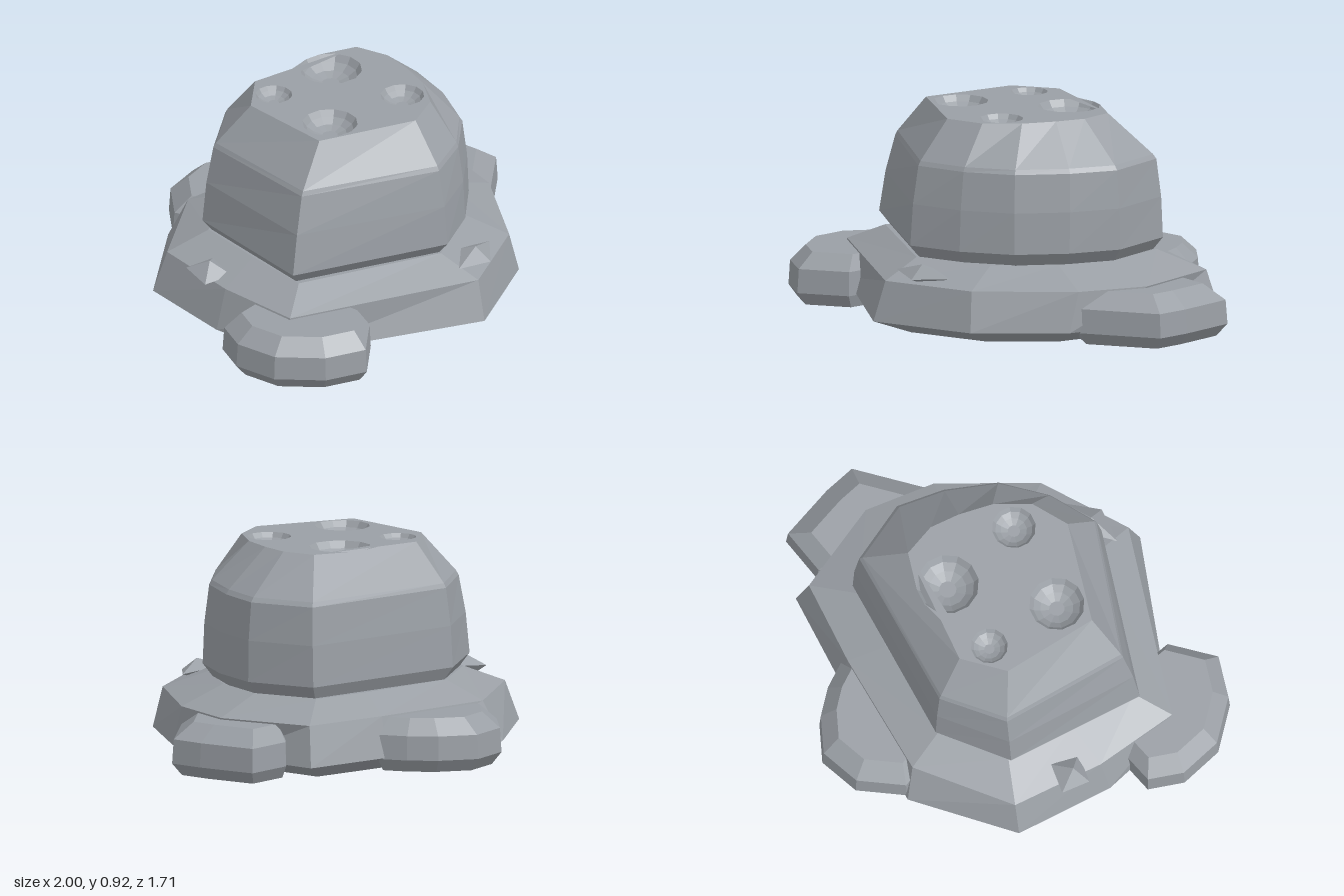
import * as THREE from 'three';

const stone = new THREE.MeshStandardMaterial({ color: 0x9a9fa5 });
stone.name = 'grey stone';

// Outline scaled about a centre
const scaled = (pts, s, cx = 0, cz = 0) => pts.map(([x, z]) => [cx + (x - cx) * s, cz + (z - cz) * s]);
const circle = (cx, cz, r, n = 12) => Array.from({ length: n }, (_, i) => {
  const a = (i / n) * Math.PI * 2;
  return [cx + Math.sin(a) * r, cz + Math.cos(a) * r];
});

// Faceted loft through levels [y, outline]; outlines run from +z towards +x
function loft(levels, { bottom = true, holes = [] } = {}) {
  const pos = [];
  const tri = (a, b, c) => pos.push(...a, ...b, ...c);
  const at = ([y, o], i) => { const p = o[i % o.length]; return [p[0], y, p[1]]; };
  for (let l = 0; l < levels.length - 1; l++) {
    const lo = levels[l], hi = levels[l + 1];
    for (let i = 0; i < lo[1].length; i++) {
      tri(at(lo, i), at(lo, i + 1), at(hi, i + 1));
      tri(at(lo, i), at(hi, i + 1), at(hi, i));
    }
  }
  const cap = ([y, o], up, gaps) => {
    const to2 = (p) => new THREE.Vector2(p[0], -p[1]);
    const inner = gaps.map((h) => [...h].reverse());
    const all = [o, ...inner].flat().map((p) => [p[0], y, p[1]]);
    const faces = THREE.ShapeUtils.triangulateShape(o.map(to2), inner.map((h) => h.map(to2)));
    for (const [i, j, k] of faces) {
      const a = all[i], b = all[j], c = all[k];
      const ny = (b[2] - a[2]) * (c[0] - a[0]) - (b[0] - a[0]) * (c[2] - a[2]);
      if ((ny > 0) === up) tri(a, b, c); else tri(a, c, b);
    }
  };
  cap(levels[levels.length - 1], true, holes);
  if (bottom) cap(levels[0], false, []);
  const g = new THREE.BufferGeometry();
  g.setAttribute('position', new THREE.Float32BufferAttribute(pos, 3));
  g.computeVertexNormals();
  return g;
}

export function createModel() {
  const model = new THREE.Group();
  model.name = 'rockFormation';
  const add = (name, geometry) => {
    const m = new THREE.Mesh(geometry, stone);
    m.name = name;
    model.add(m);
    return m;
  };

  // Boulder outlines at its widest, at the shoulder and on the flat top
  const waist = [[-0.03, 0.645], [0.2, 0.56], [0.4, 0.42], [0.53, 0.22], [0.605, 0],
    [0.53, -0.3], [-0.21, -0.47], [-0.52, -0.31], [-0.66, 0.3]];
  const shoulder = [[-0.03, 0.6], [0.19, 0.53], [0.38, 0.4], [0.51, 0.2], [0.585, 0],
    [0.51, -0.28], [-0.2, -0.44], [-0.47, -0.29], [-0.575, 0.28]];
  const crown = [[-0.01, 0.455], [0.16, 0.4], [0.27, 0.27], [0.33, 0.13], [0.365, 0],
    [0.34, -0.15], [-0.17, -0.3], [-0.35, -0.18], [-0.41, 0.245]];
  const middle = waist.map((p, i) => p.map((v, k) => 1.012 * (v + shoulder[i][k]) / 2));
  const bevel = shoulder.map((p, i) => p.map((v, k) => v * 0.93 + crown[i][k] * 0.07));

  // Craters sunk into the flat top: x, z, radius
  const top = 0.915;
  const craters = [[-0.21, -0.165, 0.08], [0.12, -0.115, 0.135], [-0.255, 0.18, 0.12], [0.13, 0.27, 0.095]];
  add('boulder', loft([
    [0.32, scaled(waist, 0.92)], [0.38, waist], [0.56, middle],
    [0.725, shoulder], [0.745, bevel], [top, crown],
  ], { holes: craters.map(([x, z, r]) => circle(x, z, r)) }));
  for (const [x, z, r] of craters) {
    const bowl = [[1, 0], [0.85, 0.22], [0.6, 0.4], [0.28, 0.5]]
      .map(([s, d]) => [top - d * r, circle(x, z, r * s)]);
    add('crater', loft(bowl, { bottom: false }));
  }

  // Broad plinth under the boulder
  const foot = [[-0.03, 0.85], [0.42, 0.68], [0.69, 0.35], [0.75, 0], [0.73, -0.45],
    [0.34, -0.55], [-0.28, -0.69], [-0.71, -0.43], [-0.81, 0], [-0.79, 0.38]];
  const rim = [[-0.01, 0.8], [0.39, 0.65], [0.69, 0.3], [0.79, 0], [0.69, -0.41],
    [0.32, -0.51], [-0.23, -0.62], [-0.65, -0.4], [-0.75, 0], [-0.78, 0.38]];
  const ledge = [[-0.03, 0.61], [0.3, 0.47], [0.48, 0.24], [0.56, 0], [0.5, -0.29],
    [0.24, -0.36], [-0.2, -0.44], [-0.49, -0.3], [-0.56, 0], [-0.62, 0.3]];
  add('plinth', loft([[0, scaled(foot, 0.76)], [0.075, foot], [0.25, rim], [0.325, ledge]]));

  // Slabs leaning out of the plinth
  const slab = (name, outline, cx, cz, topScale) => add(name, loft([
    [0.015, scaled(outline, 0.88, cx, cz)], [0.07, outline],
    [0.175, scaled(outline, 0.98, cx, cz)], [0.243, scaled(outline, topScale, cx, cz)],
  ]));
  slab('rightSlab', [[-0.69, 0.73], [-0.5, 0.6], [-0.5, 0.3], [-0.77, 0.12], [-0.92, 0.12],
    [-1, 0.26], [-0.99, 0.46], [-0.86, 0.64]], -0.65, 0.38, 0.78);
  slab('leftSlab', [[0.7, 0.3], [1, 0.1], [0.995, -0.05], [0.955, -0.31], [0.74, -0.32], [0.5, -0.15], [0.5, 0.2]],
    0.62, -0.05, 0.74);
  slab('backSlab', [[0.05, -0.3], [0.36, -0.52], [0.31, -0.64], [0.23, -0.75], [0.09, -0.855],
    [-0.1, -0.83], [-0.26, -0.68], [-0.2, -0.4]], 0.05, -0.5, 0.76);

  // Small sharp pebbles resting on the plinth
  const pebble = (name, p, size, r) => {
    const m = add(name, new THREE.OctahedronGeometry(1, 0));
    m.position.set(...p);
    m.scale.set(...size);
    m.rotation.set(...r);
  };
  pebble('frontPebble', [0.105, 0.283, 0.685], [0.145, 0.045, 0.08], [0.15, 0.2, -0.05]);
  pebble('sidePebble', [-0.7, 0.27, -0.13], [0.09, 0.06, 0.1], [0.1, 0.5, 0.15]);

  return model;
}
